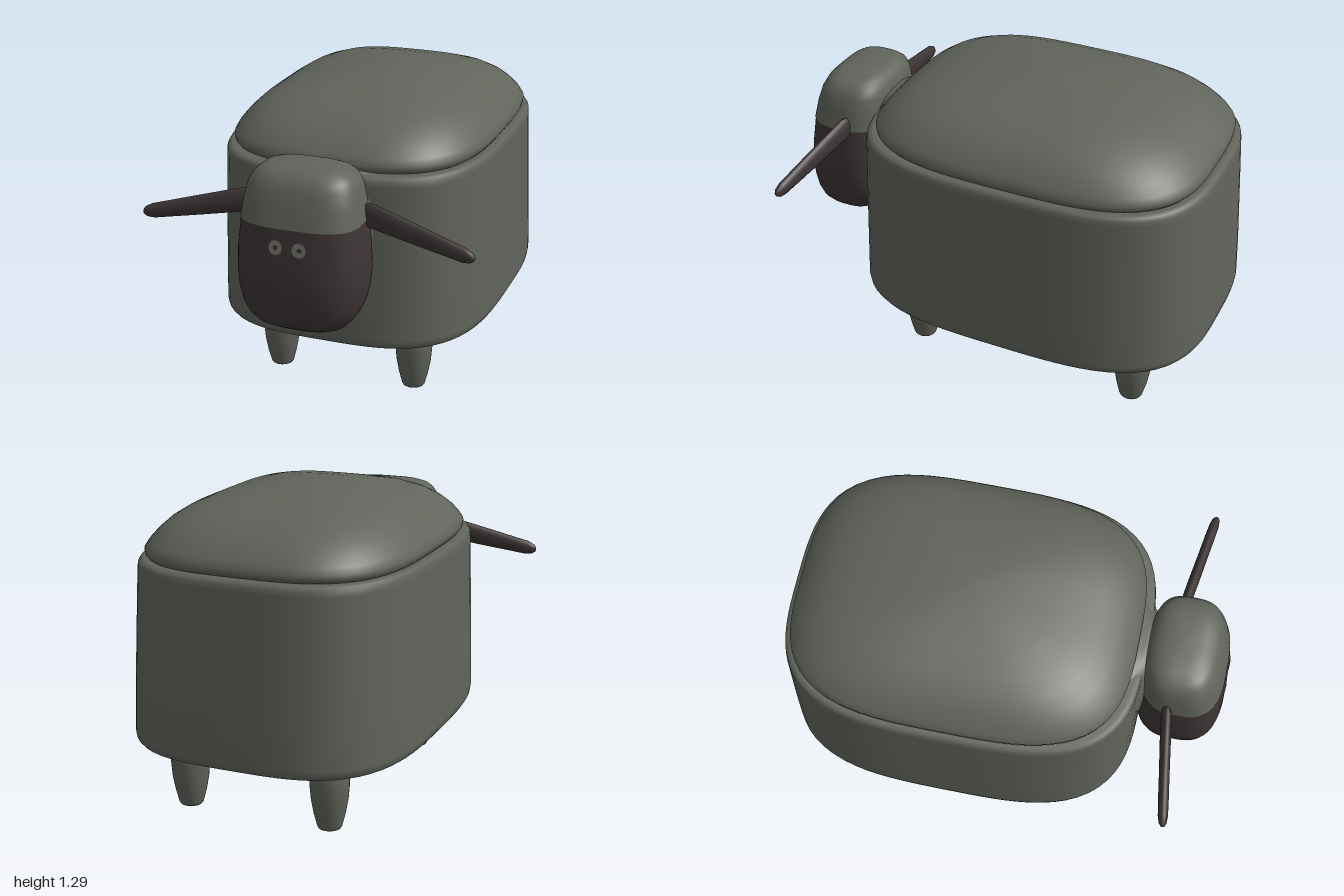
import * as THREE from 'three';

const wool = new THREE.MeshStandardMaterial({ color: 0x60645b });
wool.name = 'grey wool';
const dark = new THREE.MeshStandardMaterial({ color: 0x3e3535 });
dark.name = 'dark brown felt';
const eyeGrey = new THREE.MeshStandardMaterial({ color: 0x74766f });
eyeGrey.name = 'eye grey';

// Stacks rounded cross-sections [y, halfX, halfZ, centreZ] into a smooth closed skin
function loft(rings, power, seg = 72) {
  const pos = [], index = [];
  for (const [y, hx, hz, cz = 0] of rings) {
    for (let j = 0; j < seg; j++) {
      const t = (j / seg) * Math.PI * 2, c = Math.cos(t), s = Math.sin(t);
      const r = Math.pow(Math.abs(c) ** power + Math.abs(s) ** power, -1 / power);
      pos.push(hx * r * c, y, cz + hz * r * s);
    }
  }
  for (let i = 0; i < rings.length - 1; i++) {
    for (let j = 0; j < seg; j++) {
      const a = i * seg + j, b = i * seg + (j + 1) % seg, c = a + seg, d = b + seg;
      index.push(a, c, b, b, c, d);
    }
  }
  const g = new THREE.BufferGeometry();
  g.setAttribute('position', new THREE.Float32BufferAttribute(pos, 3));
  g.setIndex(index);
  g.computeVertexNormals();
  return g;
}

function add(parent, name, geometry, material) {
  const m = new THREE.Mesh(geometry, material);
  m.name = name;
  parent.add(m);
  return m;
}

export function createModel() {
  const model = new THREE.Group();
  model.name = 'sheepFootstool';
  // Everything is built facing +z, then turned toward the model's right
  const sheep = new THREE.Group();
  sheep.name = 'sheep';
  sheep.position.set(0.2, 0, -0.198);
  sheep.rotation.y = -0.856;
  model.add(sheep);

  // Body: tapered drum with soft edges; each entry is [y, scale, shift]
  const HX = 0.607, HZ = 0.783;
  const bodyRings = [
    [0.278, 0, 0], [0.278, 0.6, 0], [0.28, 0.95, 0], [0.286, 0.98, 0], [0.3, 0.994, 0], [0.325, 1, 0],
    [0.5, 0.993, 0.002], [0.75, 0.98, 0.007], [1.0, 0.966, 0.012], [1.022, 0.962, 0.012],
    [1.035, 0.95, 0.012], [1.04, 0.93, 0.012], [1.04, 0.8, 0.012], [1.04, 0, 0.012],
  ].map(([y, k, z]) => [y, HX * k, HZ * k, z]);
  add(sheep, 'body', loft(bodyRings, 3.3, 96), wool);

  // Seat cushion: domed lid
  const cushionRings = [
    [1.035, 0], [1.035, 0.94], [1.042, 0.98], [1.055, 0.996], [1.075, 1], [1.1, 0.975], [1.135, 0.925],
    [1.17, 0.86], [1.205, 0.765], [1.235, 0.64], [1.26, 0.47], [1.278, 0.28], [1.287, 0.12], [1.289, 0],
  ].map(([y, k]) => [y, 0.56 * k, 0.72 * k, 0.005]);
  add(sheep, 'seatCushion', loft(cushionRings, 3.3, 96), wool);

  // Neck: flares from the body front to the back of the head
  const neck = add(sheep, 'neck', loft([
    [0.68, 0.42, 0.3, 0.04], [0.72, 0.35, 0.28, 0.03], [0.745, 0.27, 0.26, 0.01],
    [0.77, 0.21, 0.245, 0], [0.8, 0.185, 0.235, 0], [0.88, 0.18, 0.23, 0],
  ], 2.6), wool);
  neck.rotation.x = Math.PI / 2;
  neck.position.y = 0.81;

  // Head: dark face below, wool cap above
  const head = new THREE.Group();
  head.name = 'head';
  sheep.add(head);
  add(head, 'face', loft([
    [0.455, 0, 0, 0.95], [0.457, 0.1, 0.065, 0.95], [0.466, 0.15, 0.1, 0.95], [0.485, 0.19, 0.13, 0.95],
    [0.52, 0.222, 0.157, 0.948], [0.57, 0.245, 0.175, 0.945], [0.63, 0.259, 0.186, 0.942],
    [0.7, 0.265, 0.19, 0.94], [0.8, 0.262, 0.186, 0.937], [0.92, 0.25, 0.175, 0.932],
  ], 3), dark);
  add(head, 'woolCap', loft([
    [0.92, 0.252, 0.177, 0.932], [1.0, 0.24, 0.165, 0.925], [1.06, 0.226, 0.152, 0.918], [1.095, 0.207, 0.137, 0.913],
    [1.117, 0.18, 0.116, 0.911], [1.13, 0.14, 0.086, 0.91], [1.136, 0.08, 0.05, 0.91], [1.137, 0, 0, 0.91],
  ], 3), wool);

  // Ears and eyes, mirrored
  for (const side of [-1, 1]) {
    const label = side > 0 ? 'left' : 'right';
    const ear = add(head, label + 'Ear', loft([
      [0, 0, 0], [0.005, 0.04, 0.016], [0.04, 0.052, 0.022], [0.14, 0.048, 0.023], [0.28, 0.041, 0.022],
      [0.4, 0.034, 0.022], [0.46, 0.031, 0.021], [0.49, 0.022, 0.016], [0.503, 0.01, 0.008], [0.506, 0, 0],
    ], 2, 24), dark);
    const along = new THREE.Vector3(side * 0.485, -0.1, 0.075).normalize();
    const up = new THREE.Vector3(0, 1, 0).addScaledVector(along, -along.y).normalize();
    const basis = new THREE.Matrix4().makeBasis(up, along, up.clone().cross(along));
    ear.quaternion.setFromRotationMatrix(basis);
    ear.position.set(side * 0.222, 0.945, 0.885);

    const eye = new THREE.Group();
    eye.name = label + 'Eye';
    eye.position.set(side * 0.05, 0.845, 1.116);
    eye.rotation.x = Math.PI / 2 - 0.12;
    head.add(eye);
    add(eye, 'eyeDisc', new THREE.CylinderGeometry(0.03, 0.03, 0.008, 24), eyeGrey);
    add(eye, 'pupil', new THREE.CylinderGeometry(0.009, 0.009, 0.004, 16), dark).position.y = 0.004;
  }

  // Legs: turned, tapering to the foot
  const legProfile = [
    [0, 0], [0.046, 0], [0.05, 0.006], [0.064, 0.06], [0.075, 0.12], [0.08, 0.18], [0.08, 0.22], [0.075, 0.29],
  ].map(([r, y]) => new THREE.Vector2(r, y));
  const legGeometry = new THREE.LatheGeometry(legProfile, 32);
  for (const z of [-0.5, 0.5]) {
    for (const x of [-0.312, 0.312]) {
      const name = (z > 0 ? 'front' : 'back') + (x > 0 ? 'Left' : 'Right') + 'Leg';
      add(sheep, name, legGeometry, wool).position.set(x + 0.003, 0, z - 0.01);
    }
  }
  return model;
}
